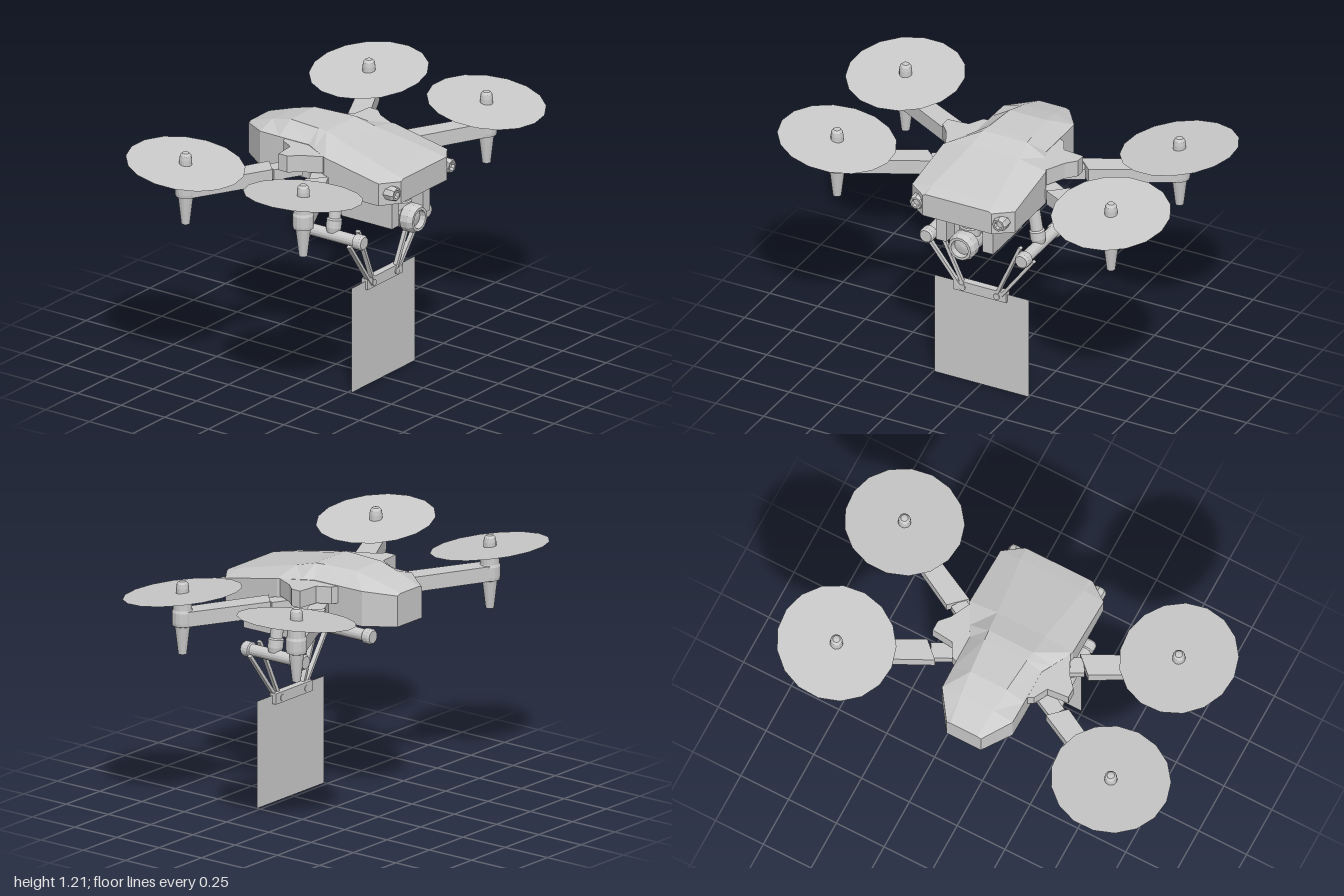
import * as THREE from 'three';

const grey = new THREE.MeshStandardMaterial({ color: 0xcccccc });
const flat = new THREE.MeshStandardMaterial({ color: 0xcccccc, flatShading: true });
const thin = new THREE.MeshStandardMaterial({ color: 0xcccccc, flatShading: true, side: THREE.DoubleSide });

function add(parent, name, geometry, material = flat) {
  const mesh = new THREE.Mesh(geometry, material);
  mesh.name = name;
  parent.add(mesh);
  return mesh;
}

// Horizontal slab from [x, z] corners between two heights
function slab(points, y0, y1) {
  const shape = new THREE.Shape(points.map(([x, z]) => new THREE.Vector2(x, -z)));
  const g = new THREE.ExtrudeGeometry(shape, { depth: y1 - y0, bevelEnabled: false });
  return g.rotateX(-Math.PI / 2).translate(0, y0, 0);
}

// Upright plate from [x, y] corners between two z values
function plate(points, z0, z1) {
  const shape = new THREE.Shape(points.map(([x, y]) => new THREE.Vector2(x, y)));
  return new THREE.ExtrudeGeometry(shape, { depth: z1 - z0, bevelEnabled: false }).translate(0, 0, z0);
}

// Turned part from [radius, distance] pairs, laid from one point along a direction
function turned(profile, from, dir, sides = 16) {
  const g = new THREE.LatheGeometry(profile.map(([r, d]) => new THREE.Vector2(r, d)), sides);
  const q = new THREE.Quaternion().setFromUnitVectors(new THREE.Vector3(0, 1, 0), new THREE.Vector3(...dir).normalize());
  return g.applyQuaternion(q).translate(...from);
}

// Square bar between two points
function bar(a, b, wx, wz) {
  const from = new THREE.Vector3(...a), to = new THREE.Vector3(...b);
  const dir = to.clone().sub(from);
  const g = new THREE.BoxGeometry(wx, dir.length(), wz);
  g.applyQuaternion(new THREE.Quaternion().setFromUnitVectors(new THREE.Vector3(0, 1, 0), dir.normalize()));
  const mid = from.add(to).multiplyScalar(0.5);
  return g.translate(mid.x, mid.y, mid.z);
}

// Faceted hull: each section is [x, half width, wall top, roof half width, roof height]
function hull(sections, bottom) {
  const pos = [], idx = [], n = 6;
  for (const [x, w, s, r, t] of sections) {
    pos.push(x, bottom, -w, x, s, -w, x, t, -r, x, t, r, x, s, w, x, bottom, w);
  }
  for (let i = 0; i < sections.length - 1; i++) {
    for (let j = 0; j < n; j++) {
      const a = i * n + j, b = i * n + (j + 1) % n;
      idx.push(a, b, b + n, a, b + n, a + n);
    }
  }
  const e = (sections.length - 1) * n;
  for (let j = 1; j < n - 1; j++) idx.push(0, j + 1, j, e, e + j, e + j + 1);
  const g = new THREE.BufferGeometry();
  g.setAttribute('position', new THREE.Float32BufferAttribute(pos, 3));
  g.setIndex(idx);
  const out = g.toNonIndexed();
  out.computeVertexNormals();
  return out;
}

export function createModel() {
  const model = new THREE.Group();
  model.name = 'quadcopter';

  // Fuselage, nose towards +x
  add(model, 'body', hull([
    [-0.435, 0.09, 1.13, 0.07, 1.138],
    [-0.30, 0.185, 1.15, 0.085, 1.18],
    [-0.19, 0.187, 1.15, 0.095, 1.207],
    [-0.02, 0.187, 1.15, 0.11, 1.207],
    [0.03, 0.215, 1.15, 0.115, 1.206],
    [0.135, 0.27, 1.147, 0.125, 1.178],
    [0.44, 0.27, 1.09, 0.165, 1.112],
    [0.505, 0.18, 1.088, 0.165, 1.096],
  ], 0.98));

  for (const sz of [1, -1]) {
    // Shoulder fairing over the arm roots
    add(model, 'shoulder', slab([
      [-0.2, 0.1], [-0.145, 0.215], [-0.08, 0.25], [-0.07, 0.355], [-0.02, 0.355],
      [0.03, 0.31], [0.12, 0.265], [0.12, 0.1],
    ].map(([x, z]) => [x, z * sz]), 1.066, 1.148));

    for (const sx of [1, -1]) {
      const flip = ([x, z]) => [x * sx, z * sz];
      const arm = new THREE.Group();
      arm.name = 'rotorArm';
      model.add(arm);
      add(arm, 'armLink', slab([[0.03, 0.22], [0.10, 0.18], [0.165, 0.31], [0.10, 0.35]].map(flip), 1.005, 1.058));
      add(arm, 'armBeam', slab([[0.095, 0.37], [0.17, 0.29], [0.375, 0.70], [0.295, 0.74]].map(flip), 0.995, 1.067));

      // Motor pod with foot below and spinner above
      const x = 0.337 * sx, z = 0.718 * sz;
      add(arm, 'motorPod', turned([
        [0, 0.855], [0.02, 0.855], [0.036, 0.99], [0.048, 0.995], [0.05, 1.01], [0.05, 1.06], [0.045, 1.072],
        [0.044, 1.115], [0.04, 1.122], [0.03, 1.124], [0.03, 1.175], [0.027, 1.195], [0.017, 1.207], [0, 1.21],
      ], [x, 0, z], [0, 1, 0]));

      // Blade disc, slightly tilted
      const disc = add(arm, 'rotorDisc', new THREE.CircleGeometry(0.28, 17).rotateX(-Math.PI / 2), thin);
      disc.position.set(x, 1.152, z);
      if (sx === sz) disc.rotation.x = -0.14 * sx;
      else disc.rotation.z = -0.14;
    }

    // Nose sensor
    add(model, 'noseSensor', turned([
      [0, 0], [0.036, 0], [0.036, 0.075], [0.03, 0.087], [0.021, 0.087], [0.019, 0.07], [0, 0.07],
    ], [0.42, 1.036, 0.217 * sz], [1, 0, 0], 8));

    // Strut with collars, and the rail it carries
    const top = [0.165, 0.985, 0.215 * sz];
    add(model, 'strut', turned([
      [0, 0], [0.038, 0], [0.038, 0.03], [0.03, 0.038], [0.03, 0.14], [0.037, 0.147], [0.037, 0.185], [0.03, 0.21], [0, 0.21],
    ], top, [0, -0.22, 0.035 * sz]));
    add(model, 'rail', turned([
      [0, 0], [0.03, 0], [0.037, 0.01], [0.037, 0.04], [0.03, 0.047], [0.029, 0.05], [0.029, 0.315],
      [0.037, 0.32], [0.037, 0.355], [0.03, 0.365], [0, 0.365],
    ], [-0.02, 0.764, 0.25 * sz], [1, 0, 0]));

    // Carrier rods down to the clamp
    add(model, 'carrierRod', bar([0.283, 0.745, 0.285 * sz], [0.273, 0.495, 0.1 * sz], 0.022, 0.015));
    add(model, 'carrierRod', bar([0.283, 0.80, 0.215 * sz], [0.273, 0.495, 0.08 * sz], 0.022, 0.015));
    add(model, 'rodPin', turned([[0, 0], [0.016, 0], [0.016, 0.045], [0, 0.045]], [0.243, 0.503, 0.09 * sz], [1, 0, 0], 10));

    // Side cheeks of the camera bay
    add(model, 'bayCheek', plate([[0, 0.985], [0.145, 0.822], [0.43, 0.822], [0.43, 0.985]],
      sz > 0 ? 0.095 : -0.15, sz > 0 ? 0.15 : -0.095));
  }

  // Camera bay core, neck and camera
  add(model, 'bayCore', plate([[0, 0.985], [0.145, 0.822], [0.35, 0.822], [0.35, 0.985]], -0.095, 0.095));
  add(model, 'cameraNeck', turned([
    [0.05, 0.86], [0.05, 0.91], [0.043, 0.915], [0.043, 0.93], [0.05, 0.935], [0.05, 0.985],
  ], [0.375, 0, 0], [0, 1, 0]));
  add(model, 'camera', turned([
    [0, 0], [0.05, 0], [0.06, 0.012], [0.06, 0.19], [0.07, 0.2], [0.07, 0.24], [0.058, 0.265],
    [0.045, 0.265], [0.042, 0.235], [0.02, 0.24], [0, 0.243],
  ], [0.215, 0.835, 0], [1, 0, 0], 14));

  // Clamp and hanging sheet
  add(model, 'clamp', new THREE.BoxGeometry(0.036, 0.052, 0.275), grey).position.set(0.264, 0.506, 0);
  add(model, 'hangingSheet', new THREE.PlaneGeometry(0.495, 0.52).rotateY(Math.PI / 2), thin).position.set(0.268, 0.26, -0.003);

  return model;
}
